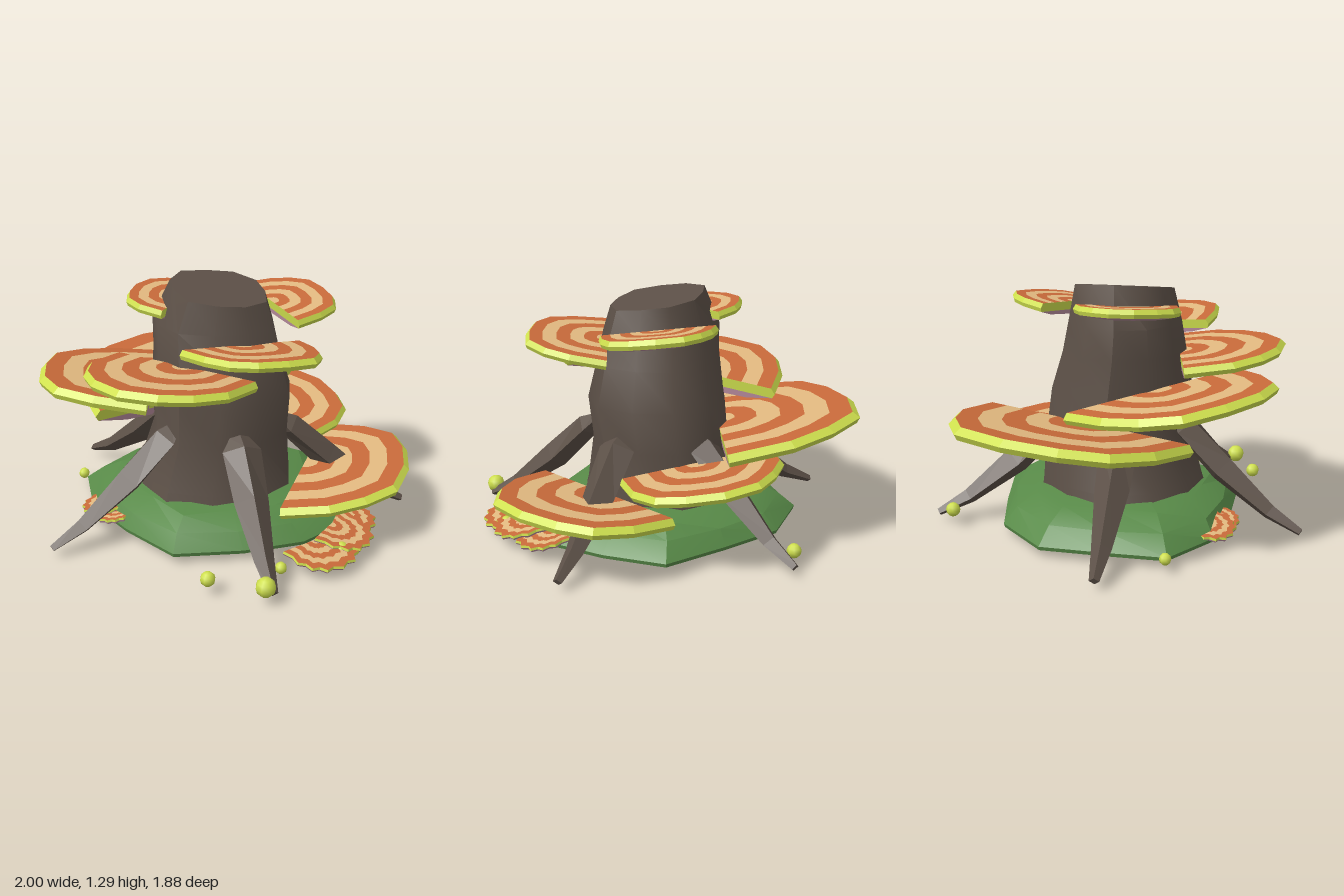
import * as THREE from 'three';
import { toCreasedNormals } from 'three/addons/utils/BufferGeometryUtils.js';

const mat = (name, color, side = THREE.FrontSide) => {
  const m = new THREE.MeshStandardMaterial({ color, side });
  m.name = name;
  return m;
};

const V = (x, y, z) => new THREE.Vector3(x, y, z);

// Skins a list of closed rings; slots[i] is the material slot of the band after ring i.
function loft(rings, slots, crease = 0.01) {
  const pos = [], geo = new THREE.BufferGeometry();
  const tri = (a, b, c) => {
    const area = b.clone().sub(a).cross(c.clone().sub(a)).length();
    if (area > 1e-8) pos.push(...a.toArray(), ...b.toArray(), ...c.toArray());
  };
  for (let i = 0; i < rings.length - 1; i++) {
    const r = rings[i], s = rings[i + 1], start = pos.length / 3;
    for (let j = 0; j < r.length; j++) {
      const k = (j + 1) % r.length;
      tri(r[j], r[k], s[j]);
      tri(r[k], s[k], s[j]);
    }
    geo.addGroup(start, pos.length / 3 - start, slots ? slots[i] : 0);
  }
  geo.setAttribute('position', new THREE.Float32BufferAttribute(pos, 3));
  return toCreasedNormals(geo, crease);
}

// Horizontal ring with an uneven outline
function ring(y, cx, cz, rx, rz, sides, rough, slope = () => 0) {
  return Array.from({ length: sides }, (_, j) => {
    const a = (j / sides) * Math.PI * 2;
    const k = 1 + rough * Math.sin(j * 2.3 + 1);
    const x = cx + rx * k * Math.cos(a), z = cz + rz * k * Math.sin(a);
    return V(x, y + slope(x, z), z);
  });
}

export function createModel() {
  const bark = mat('bark', 0x5c5047, THREE.DoubleSide);
  const moss = mat('moss', 0x588a48);
  const orange = mat('capOrange', 0xc86a3a);
  const tan = mat('capTan', 0xe2b980);
  const lime = mat('lime', 0xcfe04e);
  const pink = mat('gillPink', 0xb98c9e);
  const capMats = [orange, tan, lime, pink];

  const model = new THREE.Group();
  const add = (name, geo, material) => {
    const m = new THREE.Mesh(geo, material);
    m.name = name;
    model.add(m);
    return m;
  };

  // Stump: slanted cut top, slight belly, flared and open foot
  const slant = (x, z) => -0.15 * x - 0.05 * z;
  add('stump', loft([
    ring(1.25, -0.02, 0.06, 0, 0, 11, 0, slant),
    ring(1.25, -0.01, 0.06, 0.255, 0.25, 11, 0.06, slant),
    ring(1.08, -0.04, 0.06, 0.33, 0.29, 11, 0.04),
    ring(0.92, -0.02, 0.06, 0.345, 0.32, 11, 0.04),
    ring(0.72, 0, 0.05, 0.38, 0.37, 11, 0.03),
    ring(0.5, -0.01, 0.03, 0.37, 0.38, 11, 0.03),
    ring(0.25, -0.04, 0.05, 0.42, 0.42, 11, 0.03),
    ring(0, -0.05, 0.07, 0.485, 0.47, 11, 0.04),
  ], null, 0.7), [bark]);

  // Moss mound with a flat underside
  add('mossMound', loft([
    ring(0.22, -0.03, 0.05, 0.36, 0.36, 13, 0.04),
    ring(0.2, -0.03, 0.05, 0.51, 0.48, 13, 0.1),
    ring(0.14, -0.04, 0.04, 0.64, 0.59, 13, 0.05),
    ring(0.06, -0.04, 0.03, 0.73, 0.65, 13, 0.07),
    ring(0.04, -0.04, 0.03, 0.725, 0.645, 13, 0.07),
    ring(0.04, -0.04, 0.03, 0, 0, 13, 0),
  ], null, 0.4), [moss]);

  // Roots: four-sided tapering spurs from the trunk to the ground
  const roots = [
    [-0.98, -0.17, -0.3, 0.02], [-0.53, 0.92, -0.15, 0.35], [0.63, 0.81, 0.24, 0.33],
    [0.91, -0.35, 0.32, -0.04], [-0.09, -0.94, -0.02, -0.28],
  ];
  for (const [tx, tz, sx, sz] of roots) {
    const out = V(tx - sx, 0, tz - sz);
    const side = V(out.z, 0, -out.x).normalize();
    const stations = [[-0.04, 0.56, 0.05, 0.03], [0.05, 0.51, 0.1, 0.065],
      [0.36, 0.32, 0.088, 0.075], [0.75, 0.13, 0.05, 0.042], [1, 0.05, 0.025, 0.02]];
    const path = stations.map(([t, y]) => V(sx, y, sz).addScaledVector(out, t));
    const rings = stations.map(([, , w, h], i) => {
      const dir = path[Math.min(i + 1, 4)].clone().sub(path[Math.max(i - 1, 0)]).normalize();
      const b = dir.clone().cross(side);
      return [0, 1, 2, 3].map((j) => path[i].clone()
        .addScaledVector(side, w * Math.cos(j * Math.PI / 2))
        .addScaledVector(b, h * Math.sin(j * Math.PI / 2)));
    });
    rings.unshift(Array(4).fill(path[0]));
    rings.push(Array(4).fill(path[4]));
    add('root', loft(rings), [bark]);
  }

  // Shelf fungus: half-disc with banded top, bevelled lime lip and bulging pink underside
  function shelf(name, [x, y, z, dx, dz, half, depth, gx, gz], segs = 8, jag = 0) {
    const t = jag ? 0.022 : 0.03 + 0.05 * half, bulge = jag ? 0.015 : 0.085 * half;
    const lip = jag ? 0.98 : 0.955;
    // scale, height and colour slot of the band that follows
    const profile = [[0, 0, 1], [0.13, 0, 0], [0.29, 0, 1], [0.46, 0, 0], [0.63, 0, 1],
      [0.8, 0, 0], [lip, 0, 2], [1, -t * 0.55, jag ? 3 : 2], [0.975, -t, 3],
      [0.7, -t - bulge * 0.7, 3], [0, -t - bulge, 3]];
    const rings = profile.map(([u, h]) => Array.from({ length: segs + 1 }, (_, j) => {
      const a = (j / segs) * Math.PI, c = Math.cos(a);
      const s = j === segs ? 0 : Math.sin(a);
      const k = u * (jag ? 1 - jag * (j % 2) : 1 + 0.025 * Math.sin(j * 2.1 + x * 9));
      return V(half * k * Math.sign(c) * Math.abs(c) ** 0.85, h, depth * k * s ** 0.85);
    }));
    const m = add(name, loft(rings, profile.map((p) => p[2])), capMats);
    m.position.set(x, y, z);
    m.rotation.y = Math.atan2(dx, dz);
    m.quaternion.premultiply(new THREE.Quaternion()
      .setFromUnitVectors(V(0, 1, 0), V(-gx, 1, -gz).normalize()));
  }

  // x, y, z of the inner edge, outward direction, half width, depth, rise along x and z
  [
    [0.18, 1.14, -0.18, 0.62, -0.78, 0.3, 0.34, -0.01, -0.14],
    [-0.2, 1.18, 0.06, -1, 0, 0.27, 0.31, -0.1, -0.03],
    [0.2, 1.025, 0.23, 0.82, 0.57, 0.35, 0.44, 0.04, 0.15],
    [-0.06, 0.912, 0.35, -0.1, 1, 0.43, 0.55, -0.01, 0.11],
    [-0.32, 0.77, 0.2, -0.9, 0.42, 0.53, 0.61, -0.06, 0.13],
    [-0.25, 0.58, -0.15, -0.81, -0.58, 0.625, 0.755, -0.11, -0.12],
    [0.06, 0.455, -0.35, 0.4, -0.92, 0.42, 0.5, -0.08, -0.12],
    [0.44, 0.295, -0.08, 1, -0.12, 0.52, 0.56, 0.12, -0.05],
  ].forEach((s) => shelf('shelfFungus', s));

  // Small ragged fans near the ground
  [
    [0.67, 0.11, 0.37, 0.85, 0.5, 0.2, 0.23, -0.15, -0.08],
    [0.7, 0.13, 0.22, 1, 0.15, 0.17, 0.23, -0.18, -0.04],
    [0.68, 0.11, 0.06, 1, -0.1, 0.15, 0.21, -0.14, 0],
    [-0.47, 0.11, 0.42, -0.6, 0.8, 0.14, 0.18, 0.2, -0.08],
    [-0.4, 0.1, 0.5, -0.3, 0.95, 0.12, 0.13, 0.15, -0.06],
  ].forEach((s) => shelf('raggedFan', s, 16, 0.09));

  // Puffballs
  [
    [-0.16, 0.09, -0.86, 0.038], [0.32, 0.08, 0.87, 0.038], [0.6, 0.09, 0.83, 0.05],
    [0.59, 0.07, 0.62, 0.03], [-0.82, 0.07, 0.18, 0.03], [0.8, 0.075, 0.34, 0.038],
  ].forEach(([x, y, z, r]) => {
    add('puffball', new THREE.SphereGeometry(r, 8, 6), lime).position.set(x, y, z);
  });

  return model;
}
